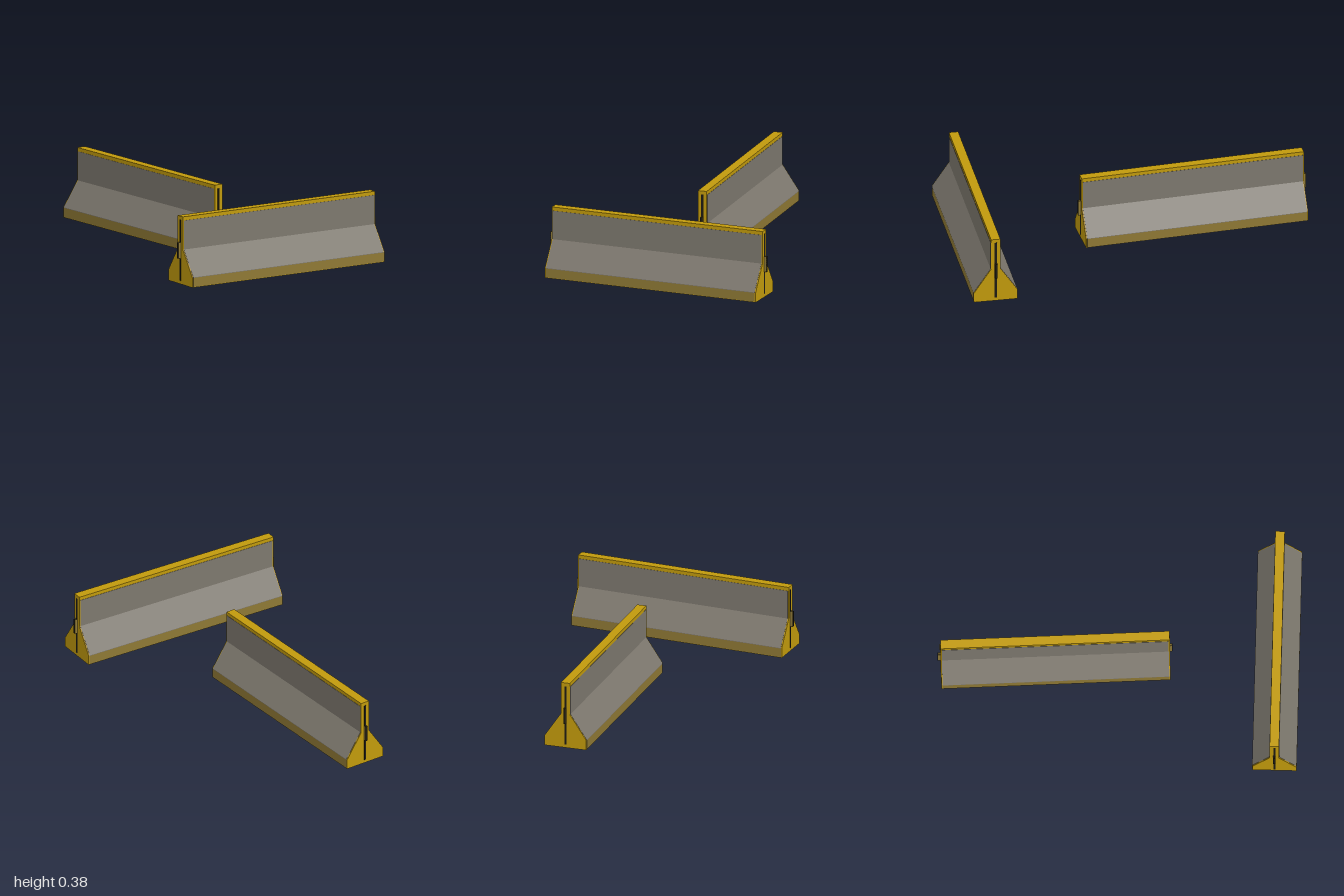
import * as THREE from 'three';

const mat = (name, color) => Object.assign(new THREE.MeshStandardMaterial({ color }), { name });
const concrete = mat('concrete grey', 0x7d786e);
const yellow = mat('safety yellow', 0xc19a0c);
const worn = mat('worn yellow', 0x8e7834);
const dark = mat('dark slot', 0x1c1a12);

const LENGTH = 1.27;
const SKIN = 0.0015;

// Extrudes a cross-section (z, y points) along x, centred on x = 0
function prism(points, length, material, name) {
  const shape = new THREE.Shape(points.map(([z, y]) => new THREE.Vector2(-z, y)));
  const geometry = new THREE.ExtrudeGeometry(shape, { depth: length, bevelEnabled: false });
  geometry.translate(0, 0, -length / 2);
  geometry.rotateY(Math.PI / 2);
  const mesh = new THREE.Mesh(geometry, material);
  mesh.name = name;
  return mesh;
}

function box(name, material, size, position) {
  const mesh = new THREE.Mesh(new THREE.BoxGeometry(...size), material);
  mesh.name = name;
  mesh.position.set(...position);
  return mesh;
}

// Thin plate following one side of the profile
function skin(points, side, material, name) {
  const outer = points.map(([z, y]) => [side * (z + SKIN), y]);
  const inner = points.map(([z, y]) => [side * (z - SKIN), y]).reverse();
  return prism([...outer, ...inner], LENGTH - 0.012, material, name);
}

function createBarrier(name) {
  const barrier = new THREE.Group();
  barrier.name = name;

  // Solid body, from the wide foot to the narrow top
  const half = [[0.122, 0], [0.122, 0.057], [0.026, 0.198], [0.026, 0.383]];
  const mirrored = half.map(([z, y]) => [-z, y]).reverse();
  barrier.add(prism([...half, ...mirrored], LENGTH, yellow, 'body'));

  // Concrete faces and worn foot bands
  for (const side of [-1, 1]) {
    const face = [[0.122, 0.054], [0.122, 0.057], [0.026, 0.198], [0.026, 0.362]];
    barrier.add(skin(face, side, concrete, 'concreteFace'));
    barrier.add(skin([[0.122, 0.003], [0.122, 0.054]], side, worn, 'footBand'));
  }
  barrier.add(box('underside', concrete, [LENGTH, 0.002, 0.244], [0, 0, 0]));

  // End slots and looped connectors
  for (const end of [-1, 1]) {
    const x = end * LENGTH / 2;
    barrier.add(box('endSlot', dark, [0.002, 0.345, 0.012], [x, 0.19, 0]));
    for (const side of [-1, 1]) {
      barrier.add(box('connectorSide', worn, [0.015, 0.09, 0.002], [x + end * 0.0075, 0.19, side * 0.006]));
    }
    barrier.add(box('connectorEnd', dark, [0.002, 0.09, 0.014], [x + end * 0.015, 0.19, 0]));
  }
  return barrier;
}

export function createModel() {
  const model = new THREE.Group();
  model.name = 'roadBarriers';

  const front = createBarrier('frontBarrier');
  front.position.set(0, 0.001, 0.875);

  const rear = createBarrier('rearBarrier');
  rear.position.set(-0.037, 0.001, -0.355);
  rear.rotation.y = -(Math.PI / 2 - 0.067);

  model.add(front, rear);
  return model;
}
